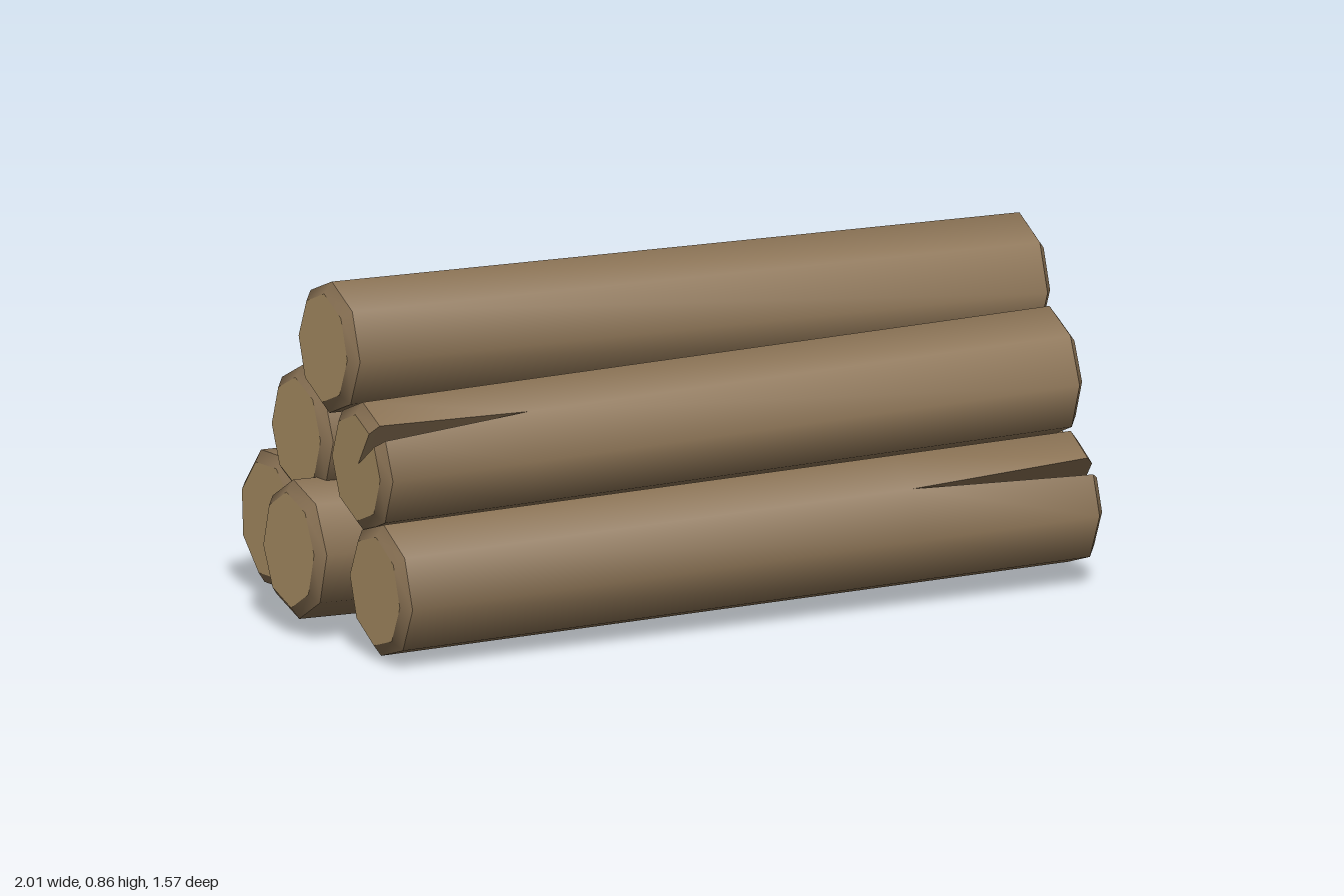
import * as THREE from 'three';
import { toCreasedNormals } from 'three/addons/utils/BufferGeometryUtils.js';

const SIDES = 8;
const BEVEL = 0.02; // length of the chamfer along the log
const CHAMFER = 0.028; // how far the chamfer narrows the end

// One cross-section: polar points [angle, radius]; a crack replaces one corner by lip, tip, lip.
function section(radius, turn, open, cracked) {
  const corner = (k) => {
    const a = turn + (k / SIDES) * Math.PI * 2;
    return new THREE.Vector2(Math.cos(a) * radius, Math.sin(a) * radius);
  };
  const points = [];
  for (let k = 0; k < SIDES; k++) {
    const p = corner(k);
    if (cracked && k === 1) {
      points.push(p.clone().lerp(corner(0), 0.2 * open));
      points.push(p.clone().multiplyScalar(1 - 0.88 * open));
      points.push(p.clone().lerp(corner(2), 0.2 * open));
    } else points.push(p);
  }
  return points;
}

function geometryFrom(positions) {
  const g = new THREE.BufferGeometry();
  g.setAttribute('position', new THREE.Float32BufferAttribute(positions, 3));
  g.computeVertexNormals();
  return toCreasedNormals(g, 0.85);
}

// A log between two end centres; crack is 'left', 'right' or undefined.
function makeLog({ name, from, to, radius, turn, crack, crackLength = 0.45 }, bark, cutWood) {
  const P = new THREE.Vector3(...from), Q = new THREE.Vector3(...to);
  const length = P.distanceTo(Q);
  const axis = Q.clone().sub(P).normalize();
  const v = new THREE.Vector3(0, 1, 0).addScaledVector(axis, -axis.y).normalize();
  const u = axis.clone().cross(v);

  const stations = [0, BEVEL, length - BEVEL, length];
  if (crack === 'left') stations.splice(2, 0, crackLength);
  if (crack === 'right') stations.splice(2, 0, length - crackLength);

  const rings = stations.map((s, i) => {
    const atEnd = i === 0 || i === stations.length - 1;
    const fromCrackEnd = crack === 'left' ? s : length - s;
    const open = crack ? Math.max(0, 1 - fromCrackEnd / crackLength) : 0;
    const centre = P.clone().addScaledVector(axis, s);
    return section(radius - (atEnd ? CHAMFER : 0), THREE.MathUtils.degToRad(turn), open, !!crack)
      .map((p) => centre.clone().addScaledVector(u, p.x).addScaledVector(v, p.y));
  });

  // Bark skin, including chamfers and crack walls
  const skin = [], ends = [];
  const tri = (list, ...pts) => pts.forEach((p) => list.push(p.x, p.y, p.z));
  const n = rings[0].length;
  for (let i = 0; i < rings.length - 1; i++) {
    for (let j = 0; j < n; j++) {
      const k = (j + 1) % n;
      const [a, b] = [rings[i], rings[i + 1]];
      tri(skin, a[j], b[j], a[k]);
      tri(skin, a[k], b[j], b[k]);
    }
  }
  // Cut faces
  const last = rings[rings.length - 1];
  for (let j = 0; j < n; j++) {
    const k = (j + 1) % n;
    tri(ends, P, rings[0][j], rings[0][k]);
    tri(ends, Q, last[k], last[j]);
  }

  const log = new THREE.Group();
  log.name = name;
  const barkMesh = new THREE.Mesh(geometryFrom(skin), bark);
  barkMesh.name = 'bark';
  const endMesh = new THREE.Mesh(geometryFrom(ends), cutWood);
  endMesh.name = 'cutEnds';
  log.add(barkMesh, endMesh);
  return log;
}

export function createModel() {
  const bark = new THREE.MeshStandardMaterial({ color: 0x8b7355 });
  bark.name = 'bark brown';
  const cutWood = new THREE.MeshStandardMaterial({ color: 0xc4a574 });
  cutWood.name = 'cut wood tan';

  const logs = [
    // bottom row, front to back
    { name: 'bottomFrontLog', from: [-0.92, 0.175, 0.625], to: [0.925, 0.2, 0.595], radius: 0.163, turn: -4, crack: 'right', crackLength: 0.49 },
    { name: 'bottomMiddleLog', from: [-1, 0.212, 0.315], to: [1, 0.17, 0.285], radius: 0.166, turn: 8 },
    { name: 'bottomBackLog', from: [-0.91, 0.2, 0.003], to: [0.94, 0.185, -0.037], radius: 0.172, turn: 27 },
    // second row
    { name: 'middleFrontLog', from: [-0.92, 0.452, 0.52], to: [0.925, 0.482, 0.488], radius: 0.158, turn: 0, crack: 'left', crackLength: 0.4 },
    { name: 'middleBackLog', from: [-0.92, 0.46, 0.185], to: [0.91, 0.432, 0.157], radius: 0.16, turn: 4 },
    // top
    { name: 'topLog', from: [-0.92, 0.701, 0.335], to: [0.925, 0.665, 0.308], radius: 0.16, turn: 0 },
    // log lying loose behind the pile
    { name: 'looseLog', from: [-0.59, 0.213, -0.33], to: [0.965, 0.167, -0.63], radius: 0.164, turn: 7 },
  ];

  const model = new THREE.Group();
  model.name = 'logPile';
  for (const log of logs) model.add(makeLog(log, bark, cutWood));
  return model;
}
